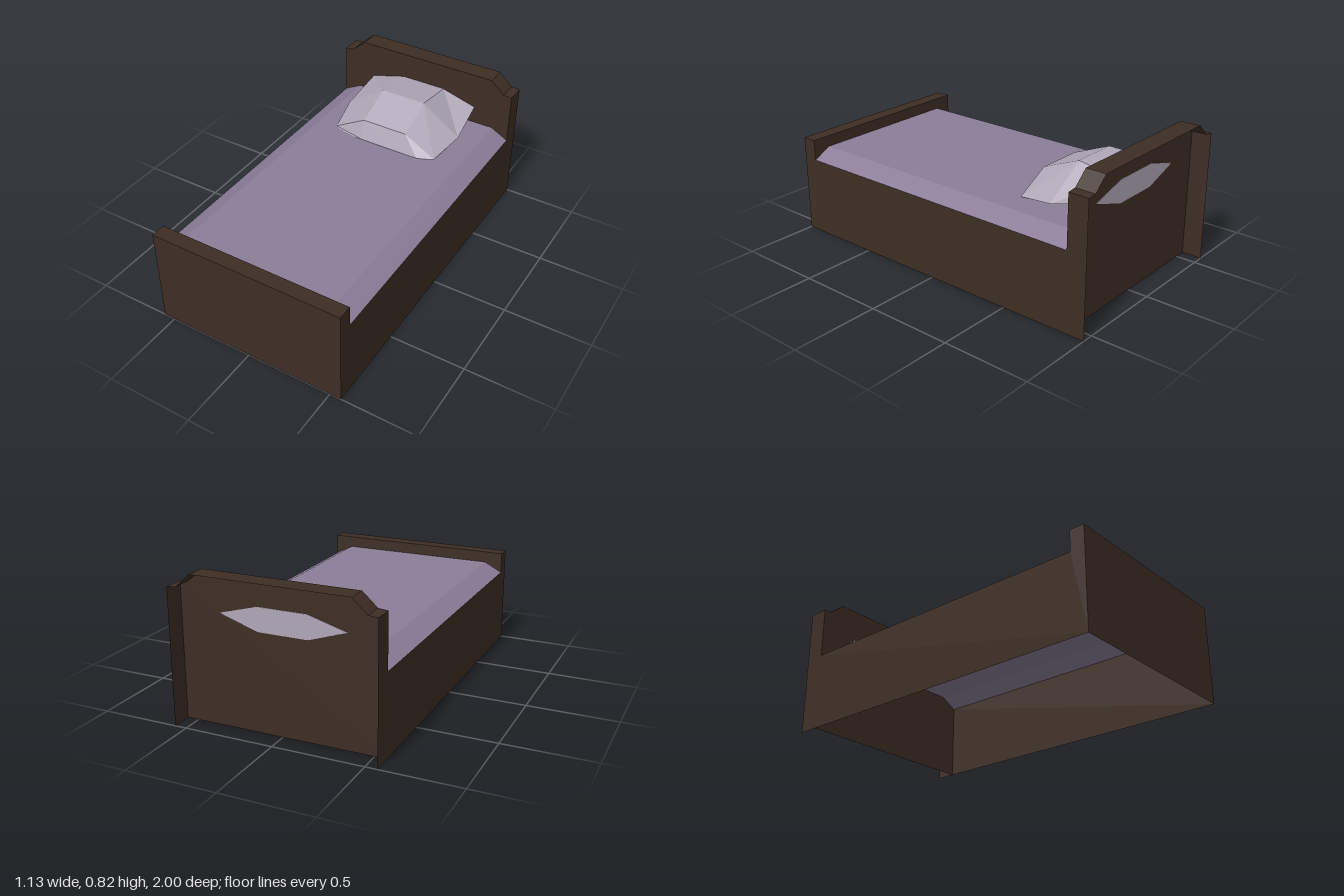
import * as THREE from 'three';

const W = 0.565, HEAD = -0.885, FOOT = 0.915, RAIL = 0.45;

// Sheet swept along z from z0 to z1 following an open [x, y] profile
function sweep(profile, z0, z1) {
  const pos = [];
  for (let i = 0; i < profile.length - 1; i++) {
    const [ax, ay] = profile[i], [bx, by] = profile[i + 1];
    pos.push(ax, ay, z0, ax, ay, z1, bx, by, z1, ax, ay, z0, bx, by, z1, bx, by, z0);
  }
  return fromPositions(pos);
}

function fromPositions(pos) {
  const g = new THREE.BufferGeometry();
  g.setAttribute('position', new THREE.Float32BufferAttribute(pos, 3));
  g.computeVertexNormals();
  return g;
}

function polygon(points) {
  return new THREE.ShapeGeometry(new THREE.Shape(points.map(([x, y]) => new THREE.Vector2(x, y))));
}

// Faceted loft through closed rings, with both ends capped
function loft(rings) {
  const pos = [], n = rings[0].length;
  const tri = (a, b, c) => pos.push(...a, ...b, ...c);
  for (let r = 0; r < rings.length - 1; r++) {
    for (let i = 0; i < n; i++) {
      const j = (i + 1) % n, A = rings[r], B = rings[r + 1];
      tri(A[i], B[i], B[j]);
      tri(A[i], B[j], A[j]);
    }
  }
  const first = rings[0], last = rings[rings.length - 1];
  for (let i = 1; i < n - 1; i++) {
    tri(first[0], first[i], first[i + 1]);
    tri(last[0], last[i + 1], last[i]);
  }
  return fromPositions(pos);
}

export function createModel() {
  const bed = new THREE.Group();
  bed.name = 'bed';
  const make = (name, color) => {
    const m = new THREE.MeshStandardMaterial({ color, flatShading: true, side: THREE.DoubleSide });
    m.name = name;
    return m;
  };
  const wood = make('darkWood', 0x3e2e24);
  const cloth = make('lavenderCloth', 0x8b7d98);
  const linen = make('paleLinen', 0xb0a7b8);
  const add = (name, geometry, material) => {
    const mesh = new THREE.Mesh(geometry, material);
    mesh.name = name;
    bed.add(mesh);
    return mesh;
  };

  // Side boards, with the raised ends that close the headboard and footboard
  const sideOutline = [[-1, 0], [1, 0], [1, 0.57], [FOOT, 0.57], [FOOT, RAIL],
    [HEAD, RAIL], [HEAD, 0.747], [-1, 0.747]];
  for (const s of [-1, 1]) {
    const side = polygon(sideOutline.map(([z, y]) => [-z, y]));
    side.rotateY(Math.PI / 2);
    side.translate(s * W, 0, 0);
    add(s > 0 ? 'leftSideBoard' : 'rightSideBoard', side, wood);
  }

  // Headboard: front panel and the stepped top rim, open at the back
  const crown = [[W, 0.747], [0.513, 0.752], [0.432, 0.825],
    [-0.432, 0.825], [-0.513, 0.752], [-W, 0.747]];
  const panel = polygon([[-W, 0], [W, 0], ...crown]);
  panel.translate(0, 0, HEAD);
  add('headboardPanel', panel, wood);
  add('headboardRim', sweep(crown, HEAD, -1), wood);

  // Footboard: outer panel, top rim and the short inner panel
  const footPanel = polygon([[-W, 0], [W, 0], [W, 0.57], [-W, 0.57]]);
  footPanel.translate(0, 0, 1);
  add('footboardPanel', footPanel, wood);
  add('footboardRim', sweep([[-W, 0.57], [W, 0.57]], FOOT, 1), wood);
  const inner = polygon([[-W, RAIL], [W, RAIL], [W, 0.57], [-W, 0.57]]);
  inner.translate(0, 0, FOOT);
  add('footboardInnerPanel', inner, wood);

  // Blanket, sloping down to the side boards
  const fold = [[-W, RAIL], [-0.46, 0.505], [0.46, 0.505], [W, RAIL]];
  add('blanket', sweep(fold, HEAD, FOOT), cloth);

  // Pillow leaning on the headboard: [z, rim half width, rim y, top y, bottom y]
  const sections = [
    [-0.887, 0.35, 0.61, 0.67, 0.54],
    [-0.63, 0.372, 0.545, 0.705, 0.495],
    [-0.41, 0.33, 0.508, 0.615, 0.495],
    [-0.37, 0.24, 0.5, 0.508, 0.495],
  ];
  const rings = sections.map(([z, w, rim, top, low]) => [
    [-w - 0.012, rim, z], [-0.15, top, z], [0.125, top, z],
    [w - 0.012, rim, z], [0.125, low, z], [-0.15, low, z],
  ]);
  add('pillow', loft(rings), linen);

  return bed;
}
